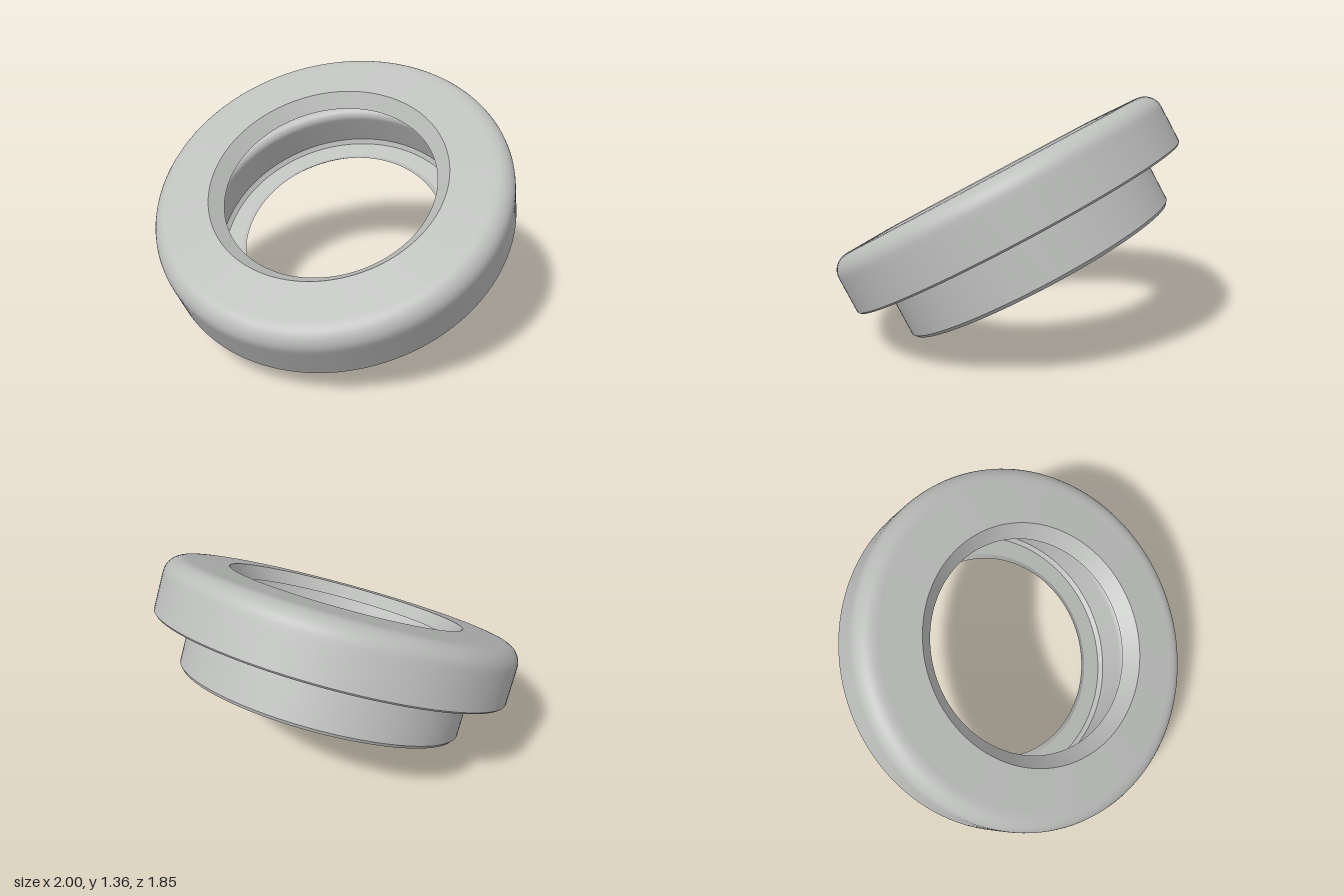
import * as THREE from 'three';

// Points along a circular arc, for rounded corners of the profile
function arc(cx, cy, r, from, to, n = 8) {
  return Array.from({ length: n + 1 }, (_, i) => {
    const a = THREE.MathUtils.degToRad(from + ((to - from) * i) / n);
    return [cx + r * Math.cos(a), cy + r * Math.sin(a)];
  });
}

export function createModel() {
  const model = new THREE.Group();
  const grey = new THREE.MeshStandardMaterial({ color: 0xbcbebc });
  grey.name = 'light grey';

  // Hollow flanged ring, leaning forward by 30 degrees
  const ring = new THREE.Group();
  ring.name = 'flangedRing';
  ring.rotation.x = Math.PI / 6;
  ring.position.set(0, 0.1875, -0.325);
  model.add(ring);

  // Each run of [radius, height] points is smooth; breaks between runs are sharp
  const surface = (name, points) => {
    const profile = points.map(([r, h]) => new THREE.Vector2(r, h));
    const mesh = new THREE.Mesh(new THREE.LatheGeometry(profile, 128), grey);
    mesh.name = name;
    ring.add(mesh);
  };

  // Outside, from the foot up to the top face
  surface('footChamfer', [[0.785, 0.25], [0.8, 0.268]]);
  surface('neckAndFlangeUnderside', [
    [0.8, 0.268], [0.8, 0.5], ...arc(0.83, 0.515, 0.03, 180, 90, 6),
    [0.87, 0.545], [0.93, 0.53], [0.98, 0.512],
  ]);
  surface('flangeLip', [[0.98, 0.512], [0.99, 0.51], [1, 0.52]]);
  surface('flangeSide', [
    [1, 0.52], [1, 0.7], ...arc(0.9, 0.727, 0.1, 0, 88), [0.89, 0.828], [0.88, 0.828],
  ]);
  surface('topFace', [[0.88, 0.828], [0.665, 0.836]]);

  // Inside, from the top opening down to the foot
  surface('topBevel', [[0.665, 0.836], [0.595, 0.762]]);
  surface('topUnderside', [[0.595, 0.762], [0.93, 0.762]]);
  surface('flangeInnerWall', [[0.93, 0.762], [0.93, 0.61]]);
  surface('innerChamfer', [[0.93, 0.61], [0.89, 0.57]]);
  surface('innerShelfAndWall', [
    [0.89, 0.57], [0.82, 0.56], ...arc(0.8, 0.51, 0.05, 90, 180), [0.75, 0.48], [0.75, 0.33],
  ]);
  surface('ledgeChamfer', [[0.75, 0.33], [0.73, 0.305]]);
  surface('bottomLedge', [[0.73, 0.305], [0.626, 0.305]]);
  surface('ledgeCrest', [[0.626, 0.305], [0.595, 0.322]]);
  surface('bottomBevel', [[0.595, 0.322], [0.66, 0.25]]);
  surface('footFace', [[0.66, 0.25], [0.785, 0.25]]);

  return model;
}
